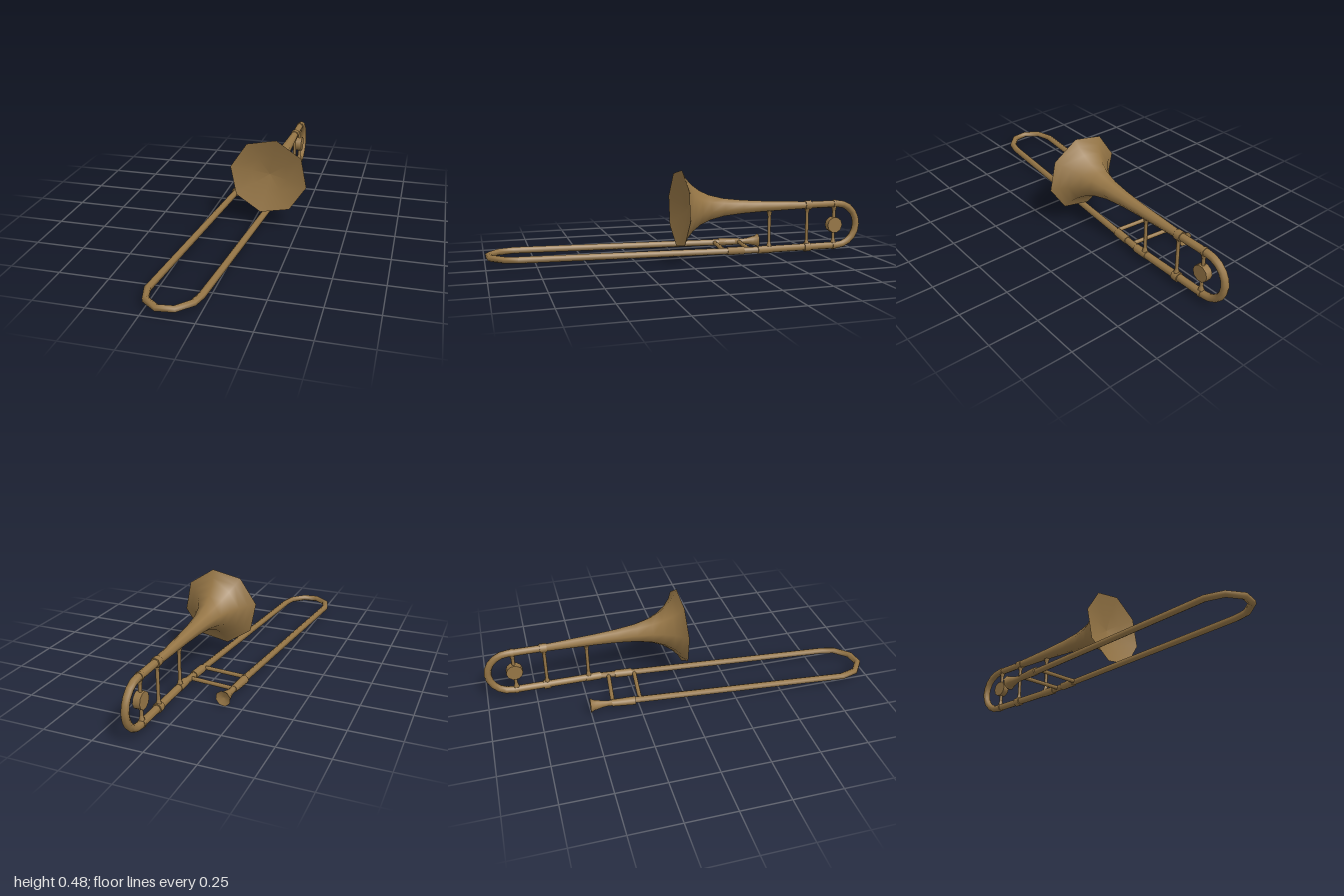
import * as THREE from 'three';

const V = (x, y, z) => new THREE.Vector3(x, y, z);

// Straight-segment path with mitred corners
class Polyline extends THREE.Curve {
  constructor(points) { super(); this.points = points; }
  getPoint(t, out = new THREE.Vector3()) {
    const n = this.points.length - 1;
    const i = Math.min(Math.floor(t * n + 1e-6), n - 1);
    return out.lerpVectors(this.points[i], this.points[i + 1], t * n - i);
  }
  getPointAt(t, out) { return this.getPoint(t, out); }
  getTangentAt(t, out = new THREE.Vector3()) {
    const p = this.points, i = Math.round(t * (p.length - 1));
    const dir = (k) => p[k + 1].clone().sub(p[k]).normalize();
    const a = dir(Math.max(i - 1, 0)), b = dir(Math.min(i, p.length - 2));
    return out.copy(a).add(b).normalize();
  }
}

export function createModel() {
  const model = new THREE.Group();
  const brass = new THREE.MeshStandardMaterial({ color: 0x967646, side: THREE.DoubleSide });
  brass.name = 'brass';

  const add = (name, geometry) => {
    const mesh = new THREE.Mesh(geometry, brass);
    mesh.name = name;
    model.add(mesh);
    return mesh;
  };
  const tube = (name, points, r, sides = 8) =>
    add(name, new THREE.TubeGeometry(new Polyline(points), points.length - 1, r, sides, false));
  const aim = (mesh, pos, dir) => {
    mesh.position.copy(pos);
    mesh.quaternion.setFromUnitVectors(V(0, 1, 0), dir.clone().normalize());
    return mesh;
  };
  // Solid rod between two points
  const rod = (name, a, b, r, r2 = r, sides = 8) => {
    const d = b.clone().sub(a);
    return aim(add(name, new THREE.CylinderGeometry(r2, r, d.length(), sides)),
      a.clone().lerp(b, 0.5), d);
  };
  // Turned profile of [radius, height] pairs along a direction
  const turned = (name, profile, pos, dir, start = 0) =>
    aim(add(name, new THREE.LatheGeometry(profile.map(([r, h]) => new THREE.Vector2(r, h)),
      8, start, Math.PI * 2)), pos, dir);

  const X = 0.088, LOW = 0.043, HIGH = 0.273, BACK = -0.865;

  // Bell and its shallow mouth
  const mouth = V(0.087, 0.284, 0.035);
  const bellAxis = V(0, 0.011, 0.725);
  const turn = THREE.MathUtils.degToRad(-11.3);
  turned('bell', [[0.02, -0.725], [0.025, -0.6], [0.031, -0.45], [0.038, -0.34], [0.05, -0.235],
    [0.07, -0.155], [0.095, -0.1], [0.13, -0.053], [0.165, -0.021], [0.205, 0]], mouth, bellAxis, turn);
  turned('bellMouth', [[0.205, 0], [0.1, -0.03], [0, -0.045]], mouth, bellAxis, turn);

  // Tuning loop at the back
  const R = (HIGH - LOW) / 2, mid = (HIGH + LOW) / 2;
  const loop = [V(X, HIGH, -0.68)];
  for (let i = 0; i <= 10; i++) {
    const a = Math.PI * i / 10;
    loop.push(V(X, mid + R * Math.cos(a), BACK - R * Math.sin(a)));
  }
  loop.push(V(X, LOW, -0.42));
  tube('tuningLoop', loop, 0.019);

  // Slide: two legs joined by a faceted bow
  const slideRight = V(X, LOW, -0.42), slideLeft = V(-0.16, LOW, -0.36);
  tube('slide', [slideRight, V(-0.02, LOW, 0.84), V(-0.037, LOW, 0.905), V(-0.1, LOW, 0.972),
    V(-0.177, LOW, 0.981), V(-0.246, LOW, 0.93), V(-0.27, LOW, 0.845), slideLeft], 0.0175, 6);

  // Ferrules on the loop and slide
  for (const y of [HIGH, LOW]) {
    rod('loopFerrule', V(X, y, -0.67), V(X, y, -0.705), 0.025);
    rod('loopCollar', V(X, y, -0.838), V(X, y, -0.853), 0.022);
  }
  rod('slideJoint', V(X, LOW, -0.48), V(X, LOW, -0.4), 0.021);
  rod('rightSleeve', V(0.08, LOW, -0.325), V(0.0725, LOW, -0.235), 0.021);
  rod('leftSleeve', V(-0.162, LOW, -0.39), V(-0.173, LOW, -0.27), 0.018, 0.022);

  // Upright braces with flared feet
  for (const [z, top] of [[-0.465, 0.262], [-0.685, HIGH], [-0.845, HIGH]]) {
    rod('uprightBrace', V(X, LOW, z), V(X, top, z), 0.009);
    rod('braceFoot', V(X, LOW + 0.015, z), V(X, LOW + 0.04, z), 0.015, 0.009);
    rod('braceHead', V(X, top - 0.04, z), V(X, top - 0.015, z), 0.009, 0.015);
  }

  // Round balance weight
  rod('balanceWeight', V(X - 0.018, mid, -0.845), V(X + 0.018, mid, -0.845), 0.043, 0.043, 10);

  // Cross braces between the slide legs
  rod('crossBrace', V(-0.16, LOW, -0.385), V(0.085, LOW, -0.36), 0.011);
  rod('crossBrace', V(-0.172, LOW, -0.245), V(0.075, LOW, -0.222), 0.011);

  // Mouthpiece and its shallow cup
  const cup = V(-0.153, LOW, -0.5), cupAxis = V(0.07, 0, -1);
  turned('mouthpiece', [[0.017, -0.125], [0.015, -0.09], [0.019, -0.06], [0.026, -0.035],
    [0.03, -0.015], [0.04, 0]], cup, cupAxis, -turn);
  turned('mouthpieceCup', [[0.04, 0], [0.02, -0.008], [0, -0.012]], cup, cupAxis, -turn);

  return model;
}
